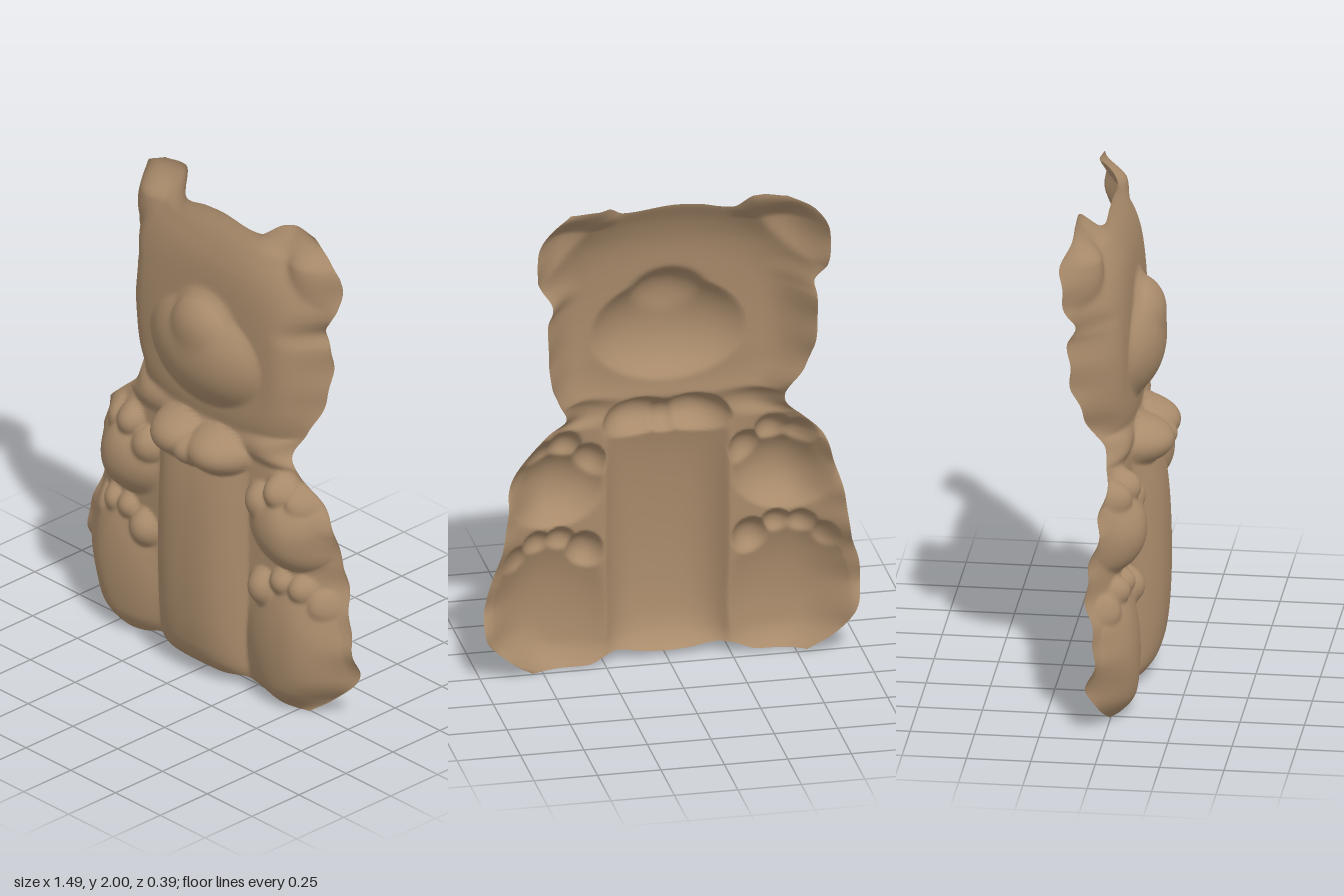
import * as THREE from 'three';

// Smooth curve through [position, value] pairs (cubic Hermite)
function curve(pts) {
  const slope = (i) => {
    const a = pts[Math.max(i - 1, 0)], b = pts[Math.min(i + 1, pts.length - 1)];
    return (b[1] - a[1]) / (b[0] - a[0]);
  };
  return (t) => {
    if (t <= pts[0][0]) return pts[0][1];
    for (let i = 0; i < pts.length - 1; i++) {
      const [a, va] = pts[i], [b, vb] = pts[i + 1];
      if (t > b) continue;
      const d = b - a, s = (t - a) / d, s2 = s * s, s3 = s2 * s;
      return va * (2 * s3 - 3 * s2 + 1) + vb * (3 * s2 - 2 * s3)
        + d * (slope(i) * (s3 - 2 * s2 + s) + slope(i + 1) * (s3 - s2));
    }
    return pts[pts.length - 1][1];
  };
}
const { smoothstep: step, lerp } = THREE.MathUtils;

// Silhouette: the two sides by height, the rims by x
const leftSide = curve([[0, 0.54], [0.06, 0.62], [0.18, 0.735], [0.36, 0.73], [0.5, 0.69], [0.7, 0.65], [0.8, 0.64],
  [0.9, 0.59], [1, 0.48], [1.06, 0.415], [1.15, 0.45], [1.25, 0.49], [1.4, 0.51], [1.52, 0.51], [1.59, 0.49],
  [1.66, 0.53], [1.71, 0.55], [1.85, 0.55], [1.93, 0.5], [2, 0.42]]);
const rightSide = curve([[0, -0.54], [0.06, -0.63], [0.13, -0.69], [0.24, -0.735], [0.38, -0.735], [0.5, -0.7],
  [0.7, -0.67], [0.8, -0.64], [0.92, -0.6], [1, -0.52], [1.07, -0.45], [1.15, -0.455], [1.25, -0.51], [1.4, -0.545],
  [1.57, -0.545], [1.62, -0.54], [1.69, -0.585], [1.85, -0.59], [1.94, -0.54], [2, -0.43]]);
const topRim = curve([[-0.43, 1.99], [-0.3, 2], [-0.235, 1.93], [-0.1, 1.945], [0, 1.95], [0.2, 1.935],
  [0.27, 1.98], [0.42, 1.975]]);
const bottomRim = curve([[-0.54, 0.01], [-0.35, 0.015], [-0.24, 0.05], [-0.1, 0.03], [0, 0.025], [0.1, 0.03],
  [0.22, 0.045], [0.32, 0.01], [0.54, 0]]);

// Depth of the side edges, and along the middle of belly and head
const edgeDepth = curve([[0, 0], [0.08, -0.04], [0.18, -0.07], [0.3, -0.04], [0.4, -0.04], [0.52, -0.07],
  [0.66, -0.07], [0.76, -0.04], [0.88, -0.03], [1, -0.01], [1.08, -0.03], [1.15, -0.07], [1.25, -0.11], [1.38, -0.15],
  [1.55, -0.16], [1.62, -0.14], [1.72, -0.17], [1.88, -0.19], [2, -0.15]]);
const bellyDepth = curve([[0, 0.06], [0.05, 0.105], [0.15, 0.145], [0.35, 0.165], [0.6, 0.165], [0.8, 0.15],
  [0.95, 0.12], [1.05, 0.08], [1.12, 0.06], [1.2, 0.04]]);
const headDepth = curve([[1, 0.05], [1.15, 0.06], [1.3, 0.05], [1.6, 0.04], [1.75, 0.03], [1.85, 0.01],
  [1.92, -0.01], [2, -0.04]]);

// Raised domes: [x, y, radiusX, radiusY, base z, height]
const mirrored = [
  [0.455, 0.24, 0.25, 0.34, 0.01, 0.095],       // foot
  [0.33, 0.48, 0.08, 0.085, 0.03, 0.08],        // toes
  [0.425, 0.535, 0.065, 0.06, 0.02, 0.065],
  [0.52, 0.53, 0.065, 0.06, 0.015, 0.065],
  [0.605, 0.48, 0.06, 0.07, 0.005, 0.065],
  [0.44, 0.76, 0.2, 0.17, 0.01, 0.12],          // paw
  [0.315, 0.85, 0.075, 0.08, 0.04, 0.07],       // fingers
  [0.41, 0.92, 0.07, 0.07, 0.04, 0.065],
  [0.51, 0.905, 0.07, 0.07, 0.03, 0.065],
  [0.585, 0.825, 0.065, 0.075, 0.02, 0.055],
  [0.29, 1.06, 0.21, 0.07, 0, 0.055],           // neck ribbon
  [0.44, 1.81, 0.17, 0.2, -0.14, 0.1],          // ear
  [0.1, 1.0, 0.15, 0.1, 0.05, 0.145],           // bow loop
];
const single = [
  [0, 1.38, 0.31, 0.225, 0.02, 0.13],           // muzzle
  [0, 1.49, 0.15, 0.13, 0.07, 0.08],            // nose
  [0, 0.985, 0.08, 0.07, 0.11, 0.085],          // bow knot
];
const domes = [...single, ...mirrored, ...mirrored.map(([x, ...rest]) => [-x, ...rest])];
const bulge = (r, p) => (r < 1 ? (1 - r ** p) ** 0.75 : 2 - 2 * r);

// Front surface: smooth maximum of skirt, belly and domes, curling back to the edge
function depth(x, y) {
  const u = Math.min(1, Math.abs(x / (x > 0 ? leftSide(y) : rightSide(y))));
  const body = 0.05 - 0.06 * u ** 3;
  const head = headDepth(y) - 0.11 * Math.hypot(x / 0.56, (y - 1.45) / 0.6) ** 5;
  const belly = 0.03 + (bellyDepth(y) - 0.03) * bulge(Math.abs(x) / 0.245, 3);
  const layers = [lerp(body, head, step(y, 1, 1.16)), belly - 0.1 * step(y, 1.05, 1.2)];
  for (const [cx, cy, rx, ry, base, h] of domes) {
    layers.push(base + h * bulge(Math.hypot((x - cx) / rx, (y - cy) / ry), 2.2));
  }
  const k = 0.009, top = Math.max(...layers);
  const front = top + k * Math.log(layers.reduce((s, v) => s + Math.exp((v - top) / k), 0))
    - 0.035 * Math.max(0, 1 - y / 0.1) ** 2;
  // Slightly ragged edge; the ear tops lean back
  const edge = edgeDepth(y) + 0.007 * Math.sin(y * 37 + x * 4) + (x > 0 ? 0.03 * step(y, 1.2, 1.8) : 0);
  const earTop = step(y, 1.86, 2) * step(Math.abs(x), 0.2, 0.32);
  return lerp(lerp(front, -0.15, earTop), edge, Math.max(0, (u - 0.65) / 0.35) ** 2.7);
}

// One horizontal band of the thin shell, from height v0 to v1
function shellBand(name, v0, v1, rows, material) {
  const cols = 170, pos = [], nor = [], idx = [], e = 0.004;
  for (let j = 0; j <= rows; j++) {
    const v = v0 + (v1 - v0) * j / rows;
    for (let i = 0; i <= cols; i++) {
      const x = lerp(rightSide(v), leftSide(v), i / cols);
      const y = v + (topRim(x) - 2) * step(v, 1.6, 2) + bottomRim(x) * (1 - step(v, 0, 0.3));
      pos.push(x, y, depth(x, y));
      const n = new THREE.Vector3(depth(x - e, y) - depth(x + e, y), depth(x, y - e) - depth(x, y + e), 2 * e);
      nor.push(...n.normalize().toArray());
      if (i < cols && j < rows) {
        const a = j * (cols + 1) + i, b = a + cols + 1;
        idx.push(a, a + 1, b + 1, a, b + 1, b);
      }
    }
  }
  const geo = new THREE.BufferGeometry();
  geo.setAttribute('position', new THREE.Float32BufferAttribute(pos, 3));
  geo.setAttribute('normal', new THREE.Float32BufferAttribute(nor, 3));
  geo.setIndex(idx);
  const mesh = new THREE.Mesh(geo, material);
  mesh.name = name;
  return mesh;
}

export function createModel() {
  const group = new THREE.Group();
  group.name = 'bearShell';
  const fur = new THREE.MeshStandardMaterial({ color: 0xa98b6b, side: THREE.DoubleSide });
  group.add(
    shellBand('legsAndBelly', 0, 0.6, 66, fur),
    shellBand('armsAndChest', 0.6, 1.12, 60, fur),
    shellBand('headAndEars', 1.12, 2, 96, fur),
  );
  return group;
}
